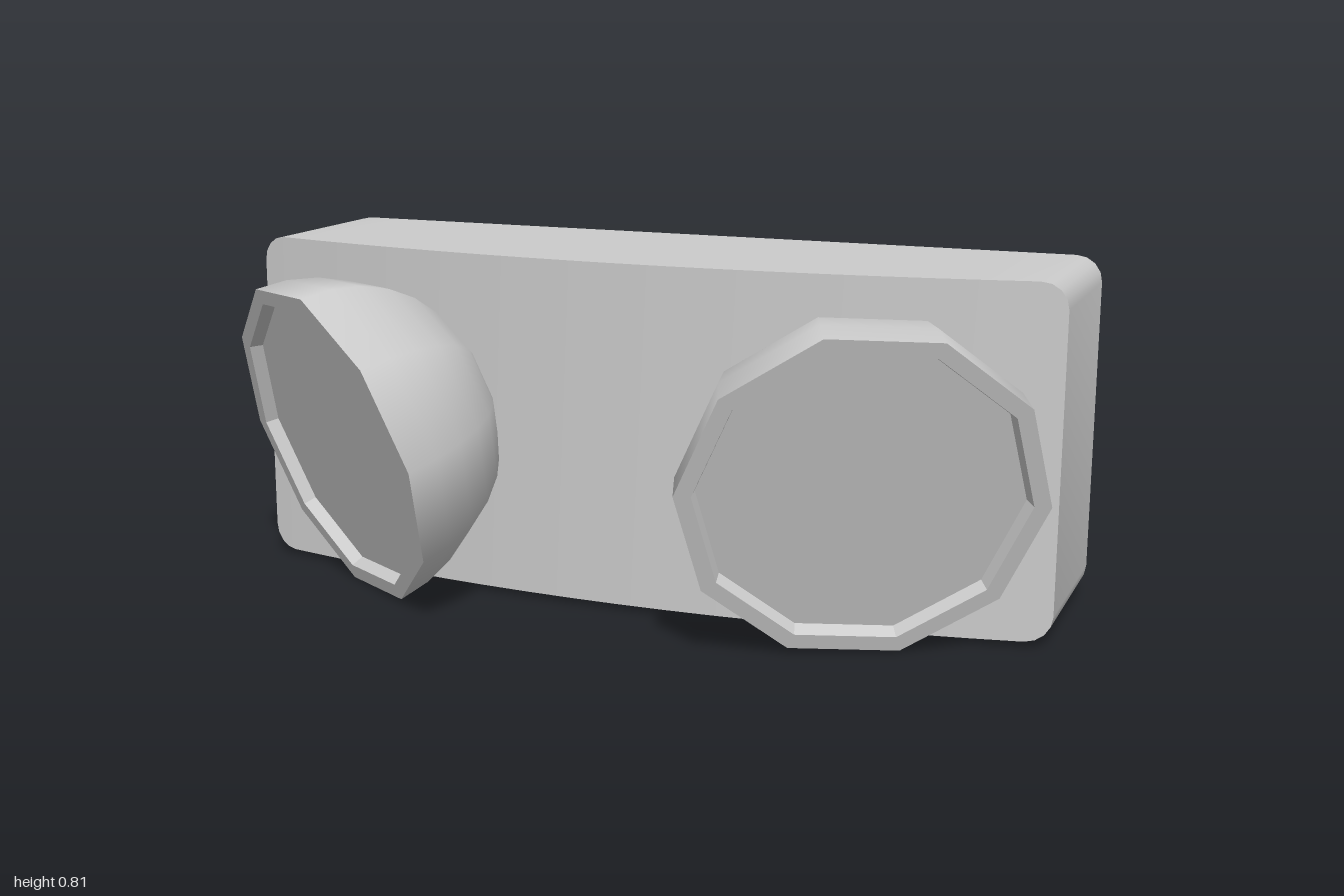
import * as THREE from 'three';
import { toCreasedNormals } from 'three/addons/utils/BufferGeometryUtils.js';

const material = (opts = {}) => new THREE.MeshStandardMaterial({ color: 0xcccccc, ...opts });

function addMesh(parent, name, geometry, mat) {
  const mesh = new THREE.Mesh(geometry, mat);
  mesh.name = name;
  parent.add(mesh);
  return mesh;
}

// Surface between two rows of points
function strip(rowA, rowB, crease = 0.6) {
  const pos = [];
  for (let i = 0; i < rowA.length - 1; i++) {
    const a = rowA[i], b = rowA[i + 1], c = rowB[i + 1], d = rowB[i];
    pos.push(...a, ...b, ...c, ...a, ...c, ...d);
  }
  const g = new THREE.BufferGeometry();
  g.setAttribute('position', new THREE.Float32BufferAttribute(pos, 3));
  return toCreasedNormals(g, crease);
}

// Thin box, open at the back, with a bowed front and rounded corners
function createHousing() {
  const W = 0.99, H = 0.4, R = 0.06, midY = 0.42, back = -0.46;
  const bow = x => 0.07 - 0.112 * (x / W) ** 2;

  // Columns from -x to +x as [x, half height]
  const columns = [];
  const corner = 4, spans = 16;
  for (let i = 0; i <= corner; i++) {
    const a = (i / corner) * Math.PI / 2;
    columns.push([-W + R - R * Math.cos(a), H - R + R * Math.sin(a)]);
  }
  for (let i = 1; i < spans; i++) columns.push([(-1 + 2 * i / spans) * (W - R), H]);
  for (let i = corner; i >= 0; i--) {
    const a = (i / corner) * Math.PI / 2;
    columns.push([W - R + R * Math.cos(a), H - R + R * Math.sin(a)]);
  }

  const top = columns.map(([x, h]) => [x, midY + h, bow(x)]);
  const bottom = columns.map(([x, h]) => [x, midY - h, bow(x)]);
  const rim = [...top, ...bottom.slice().reverse(), top[0]];
  const rear = rim.map(([x, y]) => [x, y, back]);

  const housing = new THREE.Group();
  housing.name = 'housing';
  const mat = material({ side: THREE.DoubleSide });
  addMesh(housing, 'frontPanel', strip(bottom, top), mat);
  addMesh(housing, 'sideWalls', strip(rim, rear), mat);
  return housing;
}

// Ten-sided lamp: smooth dome, flat rim, recessed lens; local +y is the beam
function createLamp(name, center, normal, side) {
  const lamp = new THREE.Group();
  lamp.name = name;
  const R = 0.4, sides = 10, inner = 0.362, lens = 0.352, depth = 0.03;
  const lathe = pts => new THREE.LatheGeometry(
    pts.map(([x, y]) => new THREE.Vector2(x, y)), sides, Math.PI / 2);

  const dome = [];
  for (let i = 0; i <= 8; i++) {
    const a = (i / 8) * Math.PI / 2;
    dome.push([R * Math.sin(a), -R * Math.cos(a)]);
  }
  dome[0][0] = 0;
  addMesh(lamp, 'lampDome', lathe(dome), material({ side: THREE.DoubleSide }));

  const flat = material({ flatShading: true });
  addMesh(lamp, 'lampRim', lathe([[R, 0], [inner, 0], [lens, -depth]]), flat);
  addMesh(lamp, 'lampLens', lathe([[lens, -depth], [0, -depth]]), flat);

  // Aim the lamp, with one corner of the rim pointing outwards
  const n = normal.clone().normalize();
  const u = new THREE.Vector3(side, -0.047, 0);
  u.z = -(u.x * n.x + u.y * n.y) / n.z;
  u.normalize();
  const basis = new THREE.Matrix4().makeBasis(u, n, new THREE.Vector3().crossVectors(u, n));
  lamp.quaternion.setFromRotationMatrix(basis);
  lamp.position.copy(center);
  return lamp;
}

export function createModel() {
  const model = new THREE.Group();
  model.name = 'twinLampUnit';
  const v = (x, y, z) => new THREE.Vector3(x, y, z);
  model.add(createHousing());
  model.add(createLamp('leftLamp', v(0.635, 0.377, 0.25), v(0.455, -0.341, 1), 1));
  model.add(createLamp('rightLamp', v(-0.66, 0.377, 0.235), v(-0.65, -0.35, 1), -1));
  return model;
}
